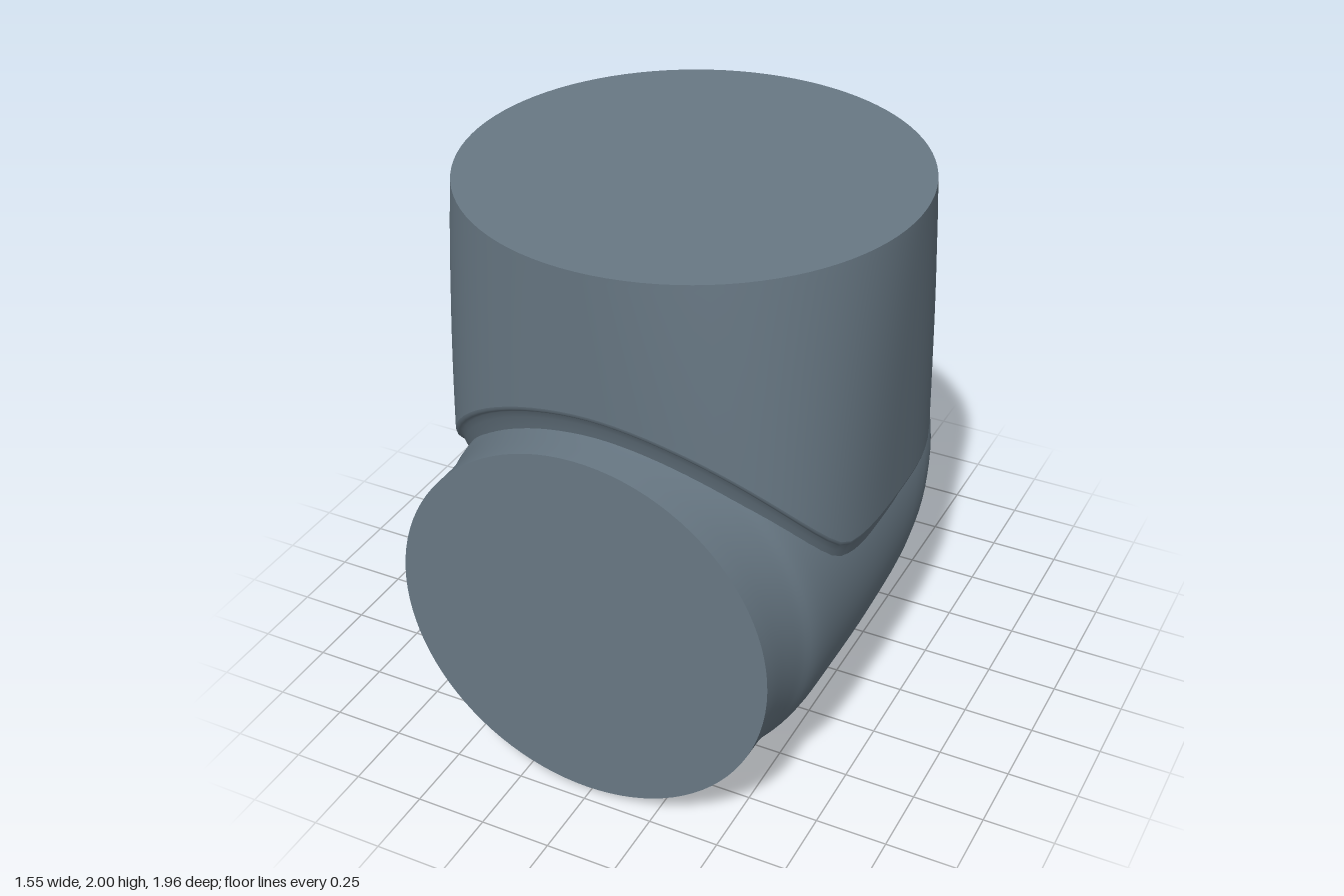
import * as THREE from 'three';

const steel = new THREE.MeshStandardMaterial({ color: 0x687884 });
steel.name = 'blue grey';

const SIDES = 96;

// Skin a stack of closed rings; ringPoint(j, angle) returns [x, y, z]
function loft(ringCount, ringPoint) {
  const position = [];
  const index = [];
  for (let j = 0; j < ringCount; j++) {
    for (let i = 0; i < SIDES; i++) {
      position.push(...ringPoint(j, (i / SIDES) * Math.PI * 2));
      if (j === ringCount - 1) continue;
      const a = j * SIDES + i;
      const b = j * SIDES + ((i + 1) % SIDES);
      index.push(a, a + SIDES, b, b, a + SIDES, b + SIDES);
    }
  }
  const geometry = new THREE.BufferGeometry();
  geometry.setAttribute('position', new THREE.Float32BufferAttribute(position, 3));
  geometry.setIndex(index);
  geometry.computeVertexNormals();
  return geometry;
}

// Horizontal body: tilted oval rings [top z, top y, bottom z, bottom y, half width]
const BODY = [
  [0.98, 1.372, 0.98, 0.042, 0.665],
  [0.86, 1.372, 0.86, 0.038, 0.667],
  [0.76, 1.375, 0.76, 0.026, 0.68],
  [0.65, 1.38, 0.65, 0.008, 0.707],
  [0.35, 1.385, 0.5, 0.005, 0.714],
  [-0.15, 1.39, 0.25, 0.008, 0.714],
  [-0.57, 1.395, 0, 0.02, 0.695],
  [-0.64, 1.37, -0.3, 0.055, 0.61],
  [-0.72, 1.27, -0.52, 0.115, 0.53],
  [-0.8, 1.17, -0.68, 0.18, 0.46],
  [-0.87, 1.1, -0.8, 0.275, 0.4],
  [-0.93, 1.03, -0.89, 0.44, 0.31],
  [-0.965, 0.965, -0.958, 0.67, 0.21],
  [-0.975, 0.91, -0.975, 0.8, 0.1],
  [-0.977, 0.861, -0.977, 0.859, 0.001],
];

function bodyGeometry() {
  const curve = (f) => new THREE.CatmullRomCurve3(BODY.map(f), false, 'catmullrom', 0.5);
  const tops = curve((s) => new THREE.Vector3(s[4], s[1], s[0]));
  const bottoms = curve((s) => new THREE.Vector3(s[4], s[3], s[2]));
  const rings = (BODY.length - 1) * 4 + 1;
  return loft(rings, (j, angle) => {
    const t = tops.getPoint(j / (rings - 1));
    const b = bottoms.getPoint(j / (rings - 1));
    const k = (1 + Math.sin(angle)) / 2;
    return [t.x * Math.cos(angle), b.y + (t.y - b.y) * k, b.z + (t.z - b.z) * k];
  });
}

// Collar plan: round at the top, squarer and slightly narrower lower down
const COLLAR_Z = 0.145;
function collarPlan(y, angle) {
  const drop = 2 - y;
  const n = 2 + drop;
  const c = Math.cos(angle);
  const s = Math.sin(angle);
  const r = (Math.abs(c) ** n + Math.abs(s) ** n) ** (-1 / n);
  return [(0.775 - 0.022 * drop) * r * c, -(0.775 - 0.067 * drop) * r * s];
}

// Saddle-shaped lower edge: an arch front and back, level along the sides
function edgeHeight(angle) {
  let y = 1.2;
  for (let k = 0; k < 5; k++) {
    const x = collarPlan(y, angle)[0];
    const arch = 0.71 + Math.sqrt(Math.max(0, 0.765 ** 2 - x * x));
    y = 0.5 * (arch + 0.968 + Math.sqrt((arch - 0.968) ** 2 + 0.001));
  }
  return y;
}

function collarGeometry() {
  const rings = 25;
  return loft(rings, (j, angle) => {
    const y = 2 + (edgeHeight(angle) - 2) * (j / (rings - 1));
    const [x, z] = collarPlan(y, angle);
    return [x, y, z + COLLAR_Z];
  });
}

// Rolled lip and neck below the edge: [drop, scale]
const LIP = [[0, 1], [0.01, 0.997], [0.018, 0.988], [0.025, 0.974], [0.05, 0.963], [0.09, 0.94], [0.2, 0.9]];
function lipGeometry() {
  return loft(LIP.length, (j, angle) => {
    const [drop, scale] = LIP[j];
    const y = edgeHeight(angle);
    const [x, z] = collarPlan(y, angle);
    return [x * scale, y - drop, z * scale + COLLAR_Z];
  });
}

export function createModel() {
  const model = new THREE.Group();
  const add = (name, geometry) => {
    const mesh = new THREE.Mesh(geometry, steel);
    mesh.name = name;
    model.add(mesh);
    return mesh;
  };

  add('body', bodyGeometry());
  add('collar', collarGeometry());
  add('collarLip', lipGeometry());

  // Flat end faces
  add('frontFace', new THREE.CircleGeometry(0.665, SIDES)).position.set(0, 0.707, 0.98);
  const topFace = add('topFace', new THREE.CircleGeometry(0.775, SIDES));
  topFace.rotation.x = -Math.PI / 2;
  topFace.position.set(0, 2, COLLAR_Z);

  return model;
}
